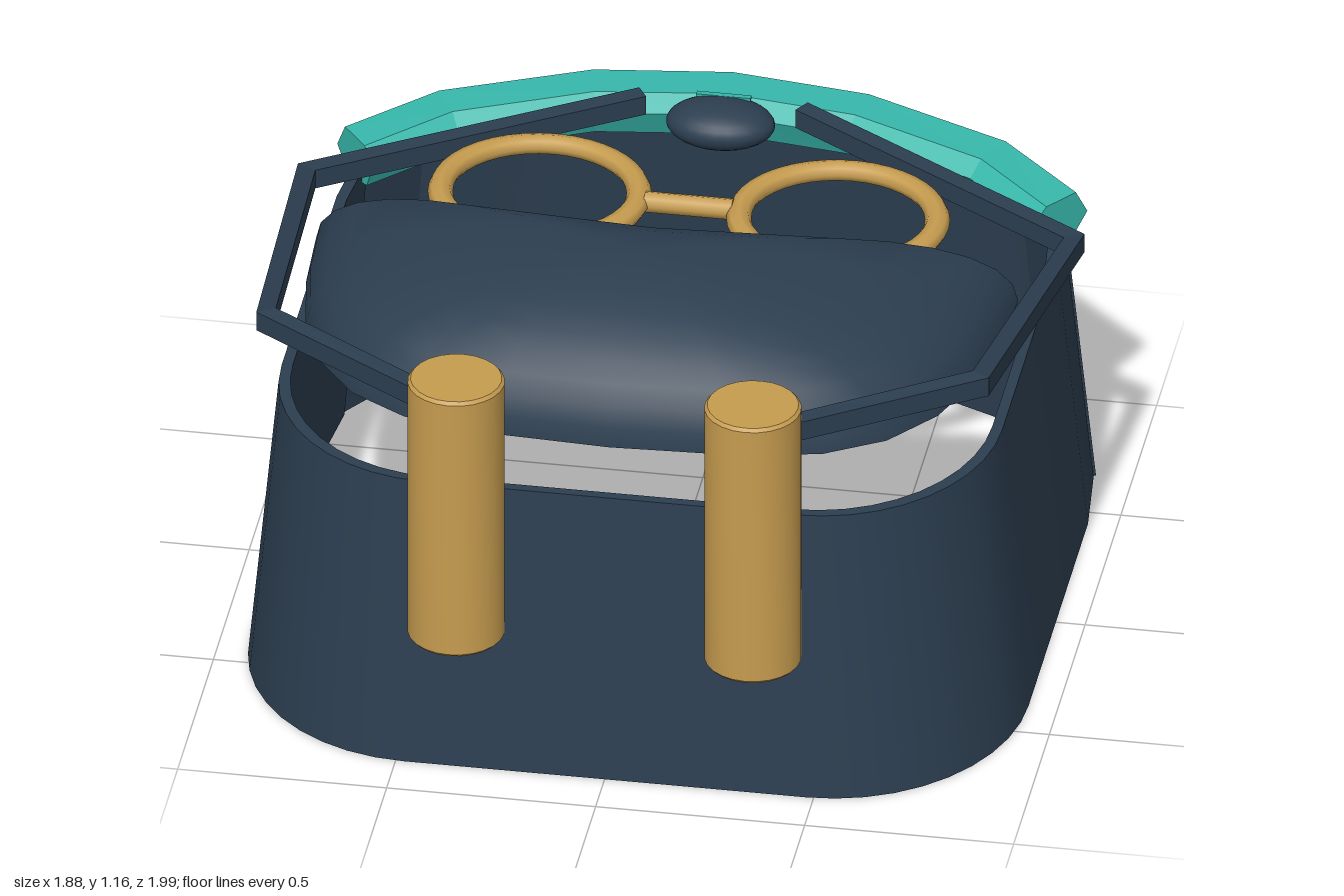
import * as THREE from 'three';
import { toCreasedNormals } from 'three/addons/utils/BufferGeometryUtils.js';

// Skin a row of equal-length closed cross-sections and cap both ends.
function skin(sections, crease = 0) {
  const tris = [];
  const n = sections[0].length;
  for (let i = 0; i < sections.length - 1; i++) {
    for (let j = 0; j < n; j++) {
      const k = (j + 1) % n, a = sections[i], b = sections[i + 1];
      tris.push([a[j], b[j], b[k]], [a[j], b[k], a[k]]);
    }
  }
  const cap = (s, flip) => {
    const c = s.reduce((m, p) => m.add(p), new THREE.Vector3()).divideScalar(n);
    for (let j = 0; j < n; j++) {
      const k = (j + 1) % n;
      tris.push(flip ? [c, s[k], s[j]] : [c, s[j], s[k]]);
    }
  };
  cap(sections[0], false);
  cap(sections[sections.length - 1], true);
  // Turn the faces outward whatever the section order
  const cross = new THREE.Vector3();
  const volume = tris.reduce((v, [a, b, c]) => v + a.dot(cross.crossVectors(b, c)), 0);
  const points = tris.flatMap(([a, b, c]) => (volume < 0 ? [a, c, b] : [a, b, c]));
  const geometry = new THREE.BufferGeometry().setFromPoints(points);
  geometry.computeVertexNormals();
  return crease ? toCreasedNormals(geometry, crease) : geometry;
}

// Sweep a [sideways, up] profile along a path with mitred corners.
function sweep(path, profile) {
  const pts = path.map((p) => new THREE.Vector3(...p));
  const normal = (a, b) => new THREE.Vector3(b.z - a.z, 0, a.x - b.x).normalize();
  return skin(pts.map((p, i) => {
    const before = normal(pts[Math.max(i - 1, 0)], pts[Math.max(i, 1)]);
    const after = normal(pts[Math.min(i, pts.length - 2)], pts[Math.min(i + 1, pts.length - 1)]);
    const side = before.clone().add(after).normalize();
    side.divideScalar(side.dot(before));
    return profile.map(([s, u]) => p.clone().addScaledVector(side, s).setY(p.y + u));
  }));
}

// Tapered wall with thickness following a floor outline of [x, z] points.
function wall(outline) {
  const height = 0.74, taper = 0.927, inset = 0.97;
  return skin(outline.map(([x, z]) => [[1, 0], [taper, height], [taper * inset, height], [inset, 0]]
    .map(([s, y]) => new THREE.Vector3(x * s, y, z * s))), 0.5);
}

const mirrored = (half) => [...half, ...half.slice().reverse().map(([x, z]) => [-x, z])];

export function createModel() {
  const model = new THREE.Group();
  const navy = new THREE.MeshStandardMaterial({ name: 'navy', color: 0x2c3e50 });
  const teal = new THREE.MeshStandardMaterial({ name: 'teal', color: 0x36b5a9 });
  const gold = new THREE.MeshStandardMaterial({ name: 'gold', color: 0xc69c4f });
  const add = (name, geometry, material, x = 0, y = 0, z = 0) => {
    const mesh = new THREE.Mesh(geometry, material);
    mesh.name = name;
    mesh.position.set(x, y, z);
    model.add(mesh);
    return mesh;
  };

  // Hollow body: rounded front and sides, faceted back panel
  const sideOutline = [[0.908, -0.657], [0.93, -0.45], [0.93, 0.0]];
  for (let i = 0; i <= 10; i++) {
    const a = (i / 10) * Math.PI / 2;
    sideOutline.push([0.48 + 0.45 * Math.cos(a), 0.38 + 0.495 * Math.sin(a)]);
  }
  add('bodyWall', wall(mirrored(sideOutline)), navy);
  add('backPanel', wall(mirrored([[0.912, -0.667], [0.79, -0.85], [0.46, -1.0]])), navy);

  // Domed lid: shrinking copies of its outline rise to the crown
  const lidHalf = [[0.42, 0.025], [0.84, 0.0], [0.83, 0.2], [0.8, 0.38], [0.74, 0.54],
    [0.64, 0.67], [0.5, 0.755], [0.3, 0.795]];
  const lidOutline = [[0, 0.05], ...mirrored(lidHalf)];
  lidOutline.splice(1 + lidHalf.length, 0, [0, 0.81]);
  const rings = [];
  for (let i = 0; i <= 9; i++) {
    const a = (i / 9) * 1.54;
    rings.push(lidOutline.map(([x, z]) => new THREE.Vector3(
      x * Math.cos(a), 0.88 + 0.285 * Math.sin(a), 0.38 + (z - 0.38) * Math.cos(a))));
  }
  add('domedLid', skin(rings, 0.9), navy);

  // Faceted band arching over the back rim
  const band = [[-0.845, 0.757, -0.572], [-0.655, 0.775, -0.735], [-0.32, 0.797, -0.85], [0, 0.807, -0.877],
    [0.32, 0.797, -0.85], [0.655, 0.775, -0.735], [0.845, 0.757, -0.572]];
  add('backBand', sweep(band, [[0.08, -0.005], [0.045, 0.06], [-0.045, 0.055],
    [-0.085, 0.02], [-0.055, -0.05], [0.03, -0.065]]), teal);

  // Bent square rods and front posts on both sides
  const rodProfile = [[-0.022, -0.025], [0.022, -0.025], [0.022, 0.025], [-0.022, 0.025]];
  const postProfile = [[0, 0], [0.108, 0], [0.115, 0.008], [0.115, 0.697], [0.108, 0.705], [0, 0.705]];
  for (const side of [-1, 1]) {
    const label = side > 0 ? 'left' : 'right';
    const rod = [[0.19, 0.86, -0.77], [0.918, 0.847, -0.325], [0.855, 1.025, 0.61], [0.42, 1.0, 0.86]];
    add(label + 'Rod', sweep(rod.map(([x, y, z]) => [x * side, y, z]), rodProfile), navy);

    const post = new THREE.LatheGeometry(postProfile.map((p) => new THREE.Vector2(...p)), 24);
    add(label + 'Post', toCreasedNormals(post, 0.5), gold, 0.355 * side, 0.37, 0.875);

    // Spectacle rims
    const rim = new THREE.TorusGeometry(0.235, 0.03, 8, 40);
    rim.rotateX(Math.PI / 2);
    rim.scale(1, 0.8, 0.93);
    add(label + 'Rim', rim, gold, 0.357 * side, 0.873, -0.305);

    // Small chevron in each lens opening
    const x = side < 0 ? -0.38 : 0.33;
    add(label + 'Chevron', sweep([[x - 0.07, 0.87, -0.175], [x + 0.01, 0.87, -0.147], [x + 0.07, 0.87, -0.162]],
      [[-0.005, -0.004], [0.005, -0.004], [0.005, 0.004], [-0.005, 0.004]]), teal);
  }
  const bridge = new THREE.CylinderGeometry(0.026, 0.026, 0.21, 8).rotateZ(Math.PI / 2);
  add('bridge', bridge, gold, 0, 0.873, -0.305);

  // Oval button with a thin highlight plate
  add('button', new THREE.SphereGeometry(1, 24, 16).scale(0.13, 0.055, 0.09), navy, 0, 0.833, -0.748);
  add('buttonStripe', new THREE.BoxGeometry(0.13, 0.008, 0.014), teal, 0, 0.879, -0.793);

  return model;
}
